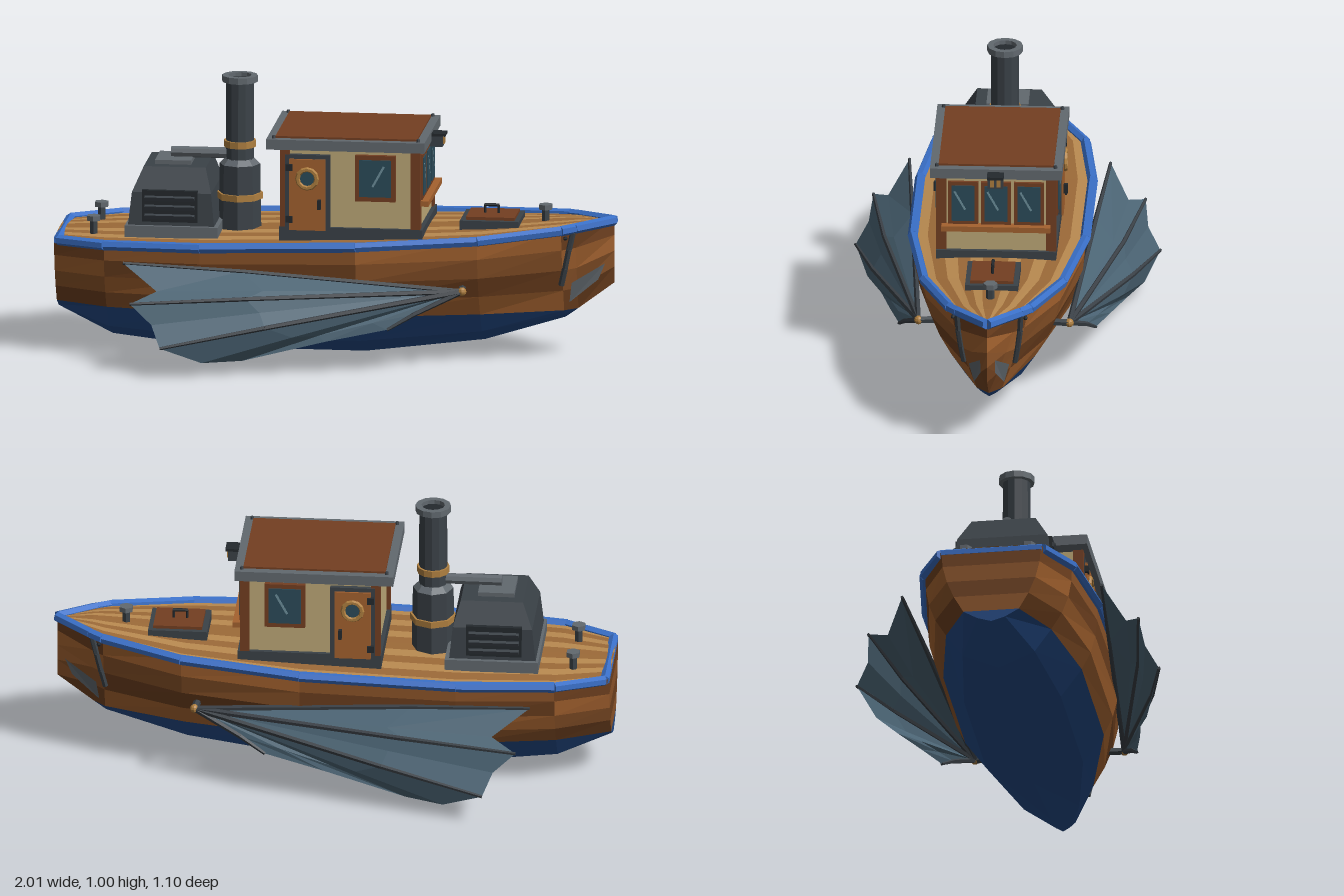
import * as THREE from 'three';

const mats = {};
const mat = (color) => (mats[color] ??= Object.assign(
  new THREE.MeshStandardMaterial({ color, flatShading: true, side: THREE.DoubleSide })));
const V = (x, y, z) => new THREE.Vector3(x, y, z);
const lerp = THREE.MathUtils.lerp;

const C = {
  blue: 0x234a86, rail: 0x3a70c8, wood: [0x8c5429, 0x70411f, 0xa5632f], deck: [0xb98a50, 0x9c6a38],
  cream: 0xbfaa78, brown: 0x743f22, door: 0xa5622f, iron: 0x3b4248, dark: 0x24292d, steel: 0x62696f,
  glass: 0x2c4c5a, glint: 0x6d909c, brass: 0xb08040, skin: 0x4b6474, spar: 0x3a4046,
};

// Hull stations: x, half beam, sheer y, keel y, bilge half width, bilge y, waterline half width, fullness
const stations = [
  [-1, 0.18, 0.425, 0.14, 0.05, 0.155, 0.10, 2],
  [-0.81, 0.265, 0.43, 0.045, 0.13, 0.10, 0.19, 2.5],
  [-0.46, 0.306, 0.437, 0.005, 0.175, 0.08, 0.25, 3],
  [0.1, 0.306, 0.455, 0.005, 0.175, 0.08, 0.25, 3],
  [0.53, 0.245, 0.475, 0.06, 0.10, 0.11, 0.15, 2],
  [0.82, 0.14, 0.498, 0.15, 0.025, 0.165, 0.045, 1.3],
  [0.866, 0.108, 0.502, 0.183, 0, 0.183, 0, 1.2],
  [0.995, 0, 0.512, 0.28, 0, 0.28, 0, 1],
];

// Cross-section from keel to sheer: keel, bilge, waterline, then four strakes
function section([x, b, ys, yk, w1, y1, w2, p]) {
  const yw = Math.max(0.183, yk);
  const pts = [V(x, yk, 0), V(x, y1, w1), V(x, yw, w2)];
  for (let t = 0.25; t <= 1; t += 0.25) pts.push(V(x, lerp(yw, ys, t), lerp(w2, b, 1 - (1 - t) ** p)));
  return pts;
}

// Point on the hull side at a given x and y, pushed out a little
function onHull(x, y, s, out = 0.01) {
  const i = Math.max(0, stations.findIndex((st) => st[0] >= x) - 1);
  const a = stations[i], c = stations[i + 1], f = (x - a[0]) / (c[0] - a[0]);
  const sec = section(a.map((v, k) => lerp(v, c[k], f)));
  for (let j = 1; j < sec.length; j++) {
    if (y <= sec[j].y || j === sec.length - 1) {
      const t = THREE.MathUtils.clamp((y - sec[j - 1].y) / (sec[j].y - sec[j - 1].y || 1), 0, 1);
      return V(x, y, s * (lerp(sec[j - 1].z, sec[j].z, t) + out));
    }
  }
}

export function createModel() {
  const model = new THREE.Group();
  model.name = 'steamboat';

  const add = (name, geo, color, x = 0, y = 0, z = 0) => {
    const m = new THREE.Mesh(geo, mat(color));
    m.name = name;
    m.position.set(x, y, z);
    model.add(m);
    return m;
  };
  // Box given by its extents
  const box = (name, color, x0, x1, y0, y1, z0, z1) => add(name,
    new THREE.BoxGeometry(x1 - x0, y1 - y0, Math.abs(z1 - z0)), color, (x0 + x1) / 2, (y0 + y1) / 2, (z0 + z1) / 2);
  const cyl = (name, color, r0, r1, y0, y1, x, z, n = 8, open = false) =>
    add(name, new THREE.CylinderGeometry(r1, r0, y1 - y0, n, 1, open), color, x, (y0 + y1) / 2, z);
  // Rod between two points
  const rod = (name, color, a, b, r0, r1 = r0, n = 6) => {
    const d = b.clone().sub(a), mid = a.clone().add(b).multiplyScalar(0.5);
    const m = add(name, new THREE.CylinderGeometry(r1, r0, d.length(), n), color, mid.x, mid.y, mid.z);
    m.quaternion.setFromUnitVectors(V(0, 1, 0), d.normalize());
    return m;
  };
  // Mesh from a list of four-cornered faces
  const faces = (name, color, quads) => {
    const pts = quads.flatMap(([a, b, c, d]) => [a, b, c, a, c, d]);
    const g = new THREE.BufferGeometry().setFromPoints(pts);
    g.computeVertexNormals();
    return add(name, g, color);
  };
  const mir = (p, s) => V(p.x, p.y, p.z * s);
  const side = (q, s) => (s > 0 ? q : q.map((p) => mir(p, -1)).reverse());

  // Hull: painted bottom, planked topsides, transom
  const secs = stations.map(section);
  const bottom = [], planks = [[], [], []];
  for (let i = 0; i < secs.length - 1; i++) for (let j = 0; j < 6; j++) for (const s of [1, -1]) {
    const q = side([secs[i][j], secs[i + 1][j], secs[i + 1][j + 1], secs[i][j + 1]], s);
    (j < 2 ? bottom : planks[(i * 2 + j * 2 + (i >> 1)) % 3]).push(q);
  }
  for (let j = 0; j < 6; j++) {
    const a = secs[0][j], b = secs[0][j + 1];
    (j < 2 ? bottom : planks[j % 2]).push([mir(a, -1), a, b, mir(b, -1)]);
  }
  faces('hullBottom', C.blue, bottom);
  planks.forEach((q, k) => faces('hullPlanks', C.wood[k], q));

  // Deck planks, slightly cambered
  const deck = [[], []], N = 12;
  const dp = (st, f) => V(st[0], st[2] - 0.003 + 0.012 * (1 - f * f) * (st[1] > 0 ? 1 : 0), f * st[1]);
  for (let i = 0; i < stations.length - 1; i++) for (let k = 0; k < N; k++) {
    const f0 = -1 + 2 * k / N, f1 = f0 + 2 / N, a = stations[i], b = stations[i + 1];
    deck[Math.min(k, N - 1 - k) % 2].push([dp(a, f0), dp(a, f1), dp(b, f1), dp(b, f0)]);
  }
  deck.forEach((q, k) => faces('deckPlanks', C.deck[k], q));

  // Rail around the sheer and across the stern
  const top = (i, s) => V(Math.max(stations[i][0], -0.985), stations[i][2] - 0.004, s * (stations[i][1] + 0.002));
  for (const s of [1, -1]) for (let i = 0; i < stations.length - 1; i++)
    rod('rail', C.rail, top(i, s), top(i + 1, s), 0.019);
  rod('sternRail', C.rail, top(0, 1), top(0, -1), 0.018);

  // Wheelhouse
  box('houseBase', C.iron, -0.185, 0.33, 0.44, 0.5, -0.215, 0.215);
  box('houseWalls', C.cream, -0.17, 0.315, 0.5, 0.79, -0.2, 0.2);
  for (const x of [-0.17, 0.3]) for (const s of [1, -1])
    box('cornerPost', C.brown, x - 0.012, x + 0.022, 0.5, 0.79, s * 0.178, s * 0.215);
  box('roofSlab', C.steel, -0.23, 0.34, 0.785, 0.822, -0.236, 0.236);
  box('roofPanel', C.brown, -0.2, 0.31, 0.82, 0.829, -0.206, 0.206);
  for (const x of [-0.205, 0.315]) for (const s of [1, -1]) cyl('roofBolt', C.iron, 0.008, 0.006, 0.82, 0.832, x, s * 0.212, 6);

  // Front windows, sill and lamp
  for (const z of [-0.118, 0, 0.118]) {
    box('frontWindowFrame', C.brown, 0.31, 0.326, 0.6, 0.766, z - 0.054, z + 0.054);
    box('frontWindowPane', C.glass, 0.32, 0.329, 0.615, 0.752, z - 0.041, z + 0.041);
    const g = box('windowGlint', C.glint, 0.327, 0.331, 0.655, 0.735, z + 0.008, z + 0.015);
    g.rotation.x = 0.5;
  }
  box('frontSill', C.door, 0.31, 0.35, 0.582, 0.602, -0.195, 0.195);
  box('lampBody', C.iron, 0.335, 0.38, 0.765, 0.812, -0.028, 0.028);
  box('lampCap', C.dark, 0.335, 0.39, 0.803, 0.813, -0.03, 0.03);
  for (const s of [1, -1]) box('lampLens', C.brass, 0.375, 0.385, 0.773, 0.8, s * 0.004, s * 0.018);

  // Doors and side windows, both sides
  for (const s of [1, -1]) {
    box('doorFrame', C.iron, -0.163, -0.002, 0.48, 0.765, s * 0.19, s * 0.218);
    box('door', C.door, -0.148, -0.018, 0.49, 0.75, s * 0.19, s * 0.225);
    add('porthole', new THREE.TorusGeometry(0.034, 0.009, 6, 12), C.brass, -0.083, 0.68, s * 0.229);
    add('portholeGlass', new THREE.CylinderGeometry(0.032, 0.032, 0.008, 12), C.glass, -0.083, 0.68, s * 0.226).rotation.x = Math.PI / 2;
    box('doorHandle', C.dark, -0.045, -0.033, 0.57, 0.605, s * 0.22, s * 0.24);
    for (const y of [0.53, 0.72]) box('doorHinge', C.dark, -0.16, -0.135, y - 0.012, y + 0.012, s * 0.215, s * 0.231);
    box('sideWindowFrame', C.brown, 0.088, 0.233, 0.6, 0.768, s * 0.19, s * 0.217);
    box('sideWindowPane', C.glass, 0.103, 0.218, 0.617, 0.752, s * 0.19, s * 0.221);
    box('windowGlint', C.glint, 0.168, 0.176, 0.65, 0.735, s * 0.2, s * 0.223).rotation.z = -0.5;
  }

  // Boiler: base, tapered casing, louvres, top plate
  box('boilerBase', C.steel, -0.745, -0.41, 0.44, 0.482, -0.188, 0.188);
  const rings = [[0.482, -0.735, -0.425, 0.172], [0.6, -0.722, -0.437, 0.163], [0.685, -0.685, -0.462, 0.115]]
    .map(([y, a, b, z]) => [V(a, y, z), V(b, y, z), V(b, y, -z), V(a, y, -z)]);
  const casing = [rings[2]];
  for (let i = 0; i < 2; i++) for (let k = 0; k < 4; k++) {
    const n = (k + 1) % 4;
    casing.push([rings[i][k], rings[i][n], rings[i + 1][n], rings[i + 1][k]]);
  }
  faces('boilerCasing', C.iron, casing);
  for (const s of [1, -1]) {
    box('ventPanel', C.dark, -0.685, -0.485, 0.495, 0.61, s * 0.15, s * 0.174);
    for (let k = 0; k < 3; k++)
      box('ventSlat', C.iron, -0.675, -0.495, 0.51 + k * 0.033, 0.525 + k * 0.033, s * 0.16, s * 0.183).rotation.x = s * 0.4;
  }
  box('boilerTopPlate', C.steel, -0.65, -0.52, 0.68, 0.7, -0.075, 0.075);
  rod('steamPipe', C.steel, V(-0.6, 0.716, 0), V(-0.36, 0.716, 0), 0.02, 0.02, 8);

  // Funnel
  const fx = -0.353;
  cyl('funnelBase', C.iron, 0.077, 0.073, 0.44, 0.68, fx, 0);
  cyl('funnelShoulder', C.steel, 0.073, 0.053, 0.68, 0.7, fx, 0);
  cyl('funnelTube', C.iron, 0.051, 0.05, 0.68, 0.985, fx, 0, 12);
  cyl('lowerBand', C.brass, 0.083, 0.083, 0.553, 0.576, fx, 0);
  cyl('upperBand', C.brass, 0.058, 0.058, 0.742, 0.766, fx, 0, 12);
  const lip = [[0.042, 0.95], [0.05, 0.978], [0.064, 0.98], [0.064, 1.003], [0.042, 1.003], [0.042, 0.95]];
  add('funnelLip', new THREE.LatheGeometry(lip.map((p) => new THREE.Vector2(...p)), 12), C.steel, fx, 0, 0);
  cyl('funnelMouth', C.dark, 0.044, 0.044, 0.984, 0.988, fx, 0, 12);

  // Hatch and bollards
  box('hatchFrame', C.iron, 0.45, 0.662, 0.465, 0.512, -0.095, 0.095);
  box('hatchLid', C.brown, 0.47, 0.645, 0.5, 0.523, -0.077, 0.077);
  for (const x of [0.53, 0.578]) rod('hatchHandlePost', C.dark, V(x, 0.52, 0), V(x, 0.552, 0), 0.005);
  rod('hatchHandle', C.dark, V(0.527, 0.552, 0), V(0.581, 0.552, 0), 0.006);
  for (const [x, y, z] of [[0.748, 0.49, 0], [-0.865, 0.43, 0.115], [-0.865, 0.43, -0.115]]) {
    cyl('bollardPost', C.iron, 0.015, 0.015, y, y + 0.055, x, z, 6);
    cyl('bollardCap', C.steel, 0.026, 0.026, y + 0.052, y + 0.07, x, z, 6);
  }

  for (const s of [1, -1]) {
    // Bow strap and anchor plate
    const strap = [[0.86, 0.485], [0.845, 0.42], [0.83, 0.35], [0.815, 0.285]].map(([x, y]) => onHull(x, y, s, 0.006));
    for (let i = 0; i < 3; i++) rod('bowStrap', C.iron, strap[i], strap[i + 1], 0.011);
    add('strapBolt', new THREE.SphereGeometry(0.008, 6, 4), C.dark).position.copy(onHull(0.835, 0.465, s, 0.008));
    const plate = [[0.965, 0.355], [0.85, 0.29], [0.84, 0.215], [0.94, 0.295]].map(([x, y]) => onHull(x, y, s, 0.016));
    faces('anchorPlate', C.steel, [plate]);

    // Wing: ribs at tips 0, 2, 4 and 8, scalloped skin between
    const root = V(0.48, 0.292, 0.27 * s);
    const tips = [[-0.73, 0.383, 0.36], [-0.6, 0.298, 0.43], [-0.69, 0.262, 0.487], [-0.61, 0.19, 0.5], [-0.575, 0.115, 0.545],
      [-0.43, 0.055, 0.496], [-0.29, 0.055, 0.44], [0, 0.122, 0.395], [0.22, 0.163, 0.352]].map(([x, y, z]) => V(x, y, z * s));
    const mids = tips.map((t, i) => root.clone().lerp(t, 0.65).add(V(0, 0.006, 0.018 * s * Math.min(1, (8 - i) / 3) * (i > 0))));
    const skin = [];
    for (let i = 0; i < 8; i++)
      skin.push([root, mids[i], mids[i + 1], root], [mids[i], tips[i], tips[i + 1], mids[i + 1]]);
    faces('wingSkin', C.skin, skin.map((q) => (s > 0 ? q : [...q].reverse())));
    for (const i of [0, 2, 4, 8]) {
      rod('wingRibInner', C.spar, root, mids[i], 0.011, 0.009, 5);
      rod('wingRibOuter', C.spar, mids[i], tips[i], 0.009, 0.006, 5);
    }
    add('wingPivot', new THREE.SphereGeometry(0.016, 8, 6), C.brass).position.copy(root);
    rod('wingMount', C.iron, V(0.47, 0.292, 0.18 * s), root, 0.014);
  }

  return model;
}
